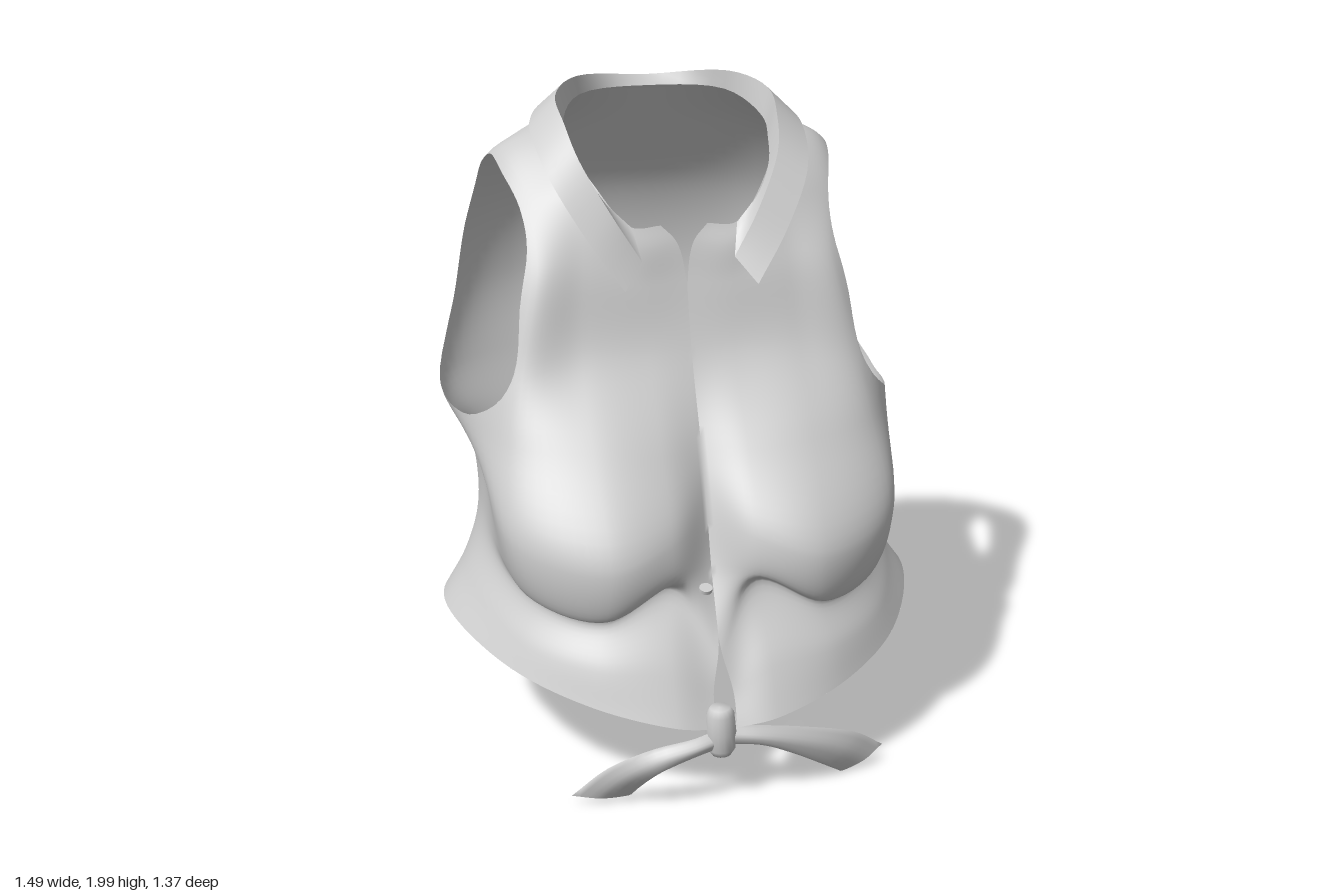
import * as THREE from 'three';
import { mergeVertices } from 'three/addons/utils/BufferGeometryUtils.js';

const cloth = new THREE.MeshStandardMaterial({ color: 0xcccccc, side: THREE.DoubleSide });
cloth.name = 'lightGreyCloth';

const vec = (p) => new THREE.Vector3(...p);
const curve = (pts) => new THREE.CatmullRomCurve3(pts);
const flip = (line) => line.map(([x, y, z]) => [-x, y, z]);

// Appends the mirrored half, so lines run front, +x, back, -x, front
const around = (half) => [...half, ...half.slice(0, -1).reverse().map(flip)];
const loopLine = (half) => [...half, ...flip(half.slice(0, -1).reverse())];

// Smooth surface through a series of lines; keep(p) < 0 is cut away
function loft(lines, nAlong, nAcross, keep = () => 1) {
  const curves = lines.map((l) => curve(l.map(vec)));
  const grid = [];
  for (let j = 0; j <= nAlong; j++) {
    const across = curve(curves.map((c) => c.getPoint(j / nAlong)));
    grid.push(across.getPoints(nAcross));
  }
  const pos = [];
  const clip = (tri) => {
    const out = [];
    tri.forEach((a, i) => {
      const b = tri[(i + 1) % 3];
      const fa = keep(a), fb = keep(b);
      if (fa >= 0) out.push(a);
      if (fa * fb < 0) out.push(a.clone().lerp(b, fa / (fa - fb)));
    });
    for (let k = 1; k + 1 < out.length; k++) {
      for (const p of [out[0], out[k], out[k + 1]]) pos.push(p.x, p.y, p.z);
    }
  };
  for (let j = 0; j < nAlong; j++) {
    for (let i = 0; i < nAcross; i++) {
      const a = grid[j][i], b = grid[j][i + 1], c = grid[j + 1][i + 1], d = grid[j + 1][i];
      clip([a, b, c]);
      clip([a, c, d]);
    }
  }
  const g = new THREE.BufferGeometry();
  g.setAttribute('position', new THREE.Float32BufferAttribute(pos, 3));
  const merged = mergeVertices(g, 1e-4);
  merged.computeVertexNormals();
  return merged;
}

// Vertical body lines, each from hem to neckline
const centreFront = [[.03, .25, .66], [.03, .34, .61], [.002, .47, .555], [0, .66, .455], [0, .84, .39],
  [0, 1, .32], [0, 1.25, .195], [.002, 1.46, .13], [.025, 1.57, .105], [.07, 1.62, .09]];
const innerBust = [[.15, .27, .665], [.15, .42, .59], [.13, .625, .475], [.13, .665, .52], [.13, .79, .51],
  [.13, 1, .375], [.13, 1.25, .2], [.14, 1.45, .14], [.15, 1.56, .115], [.16, 1.62, .09]];
const midBust = [[.38, .32, .58], [.36, .43, .545], [.33, .545, .49], [.33, .572, .535], [.32, .74, .56],
  [.33, 1.02, .37], [.33, 1.25, .2], [.31, 1.5, .125], [.29, 1.68, .055], [.26, 1.74, .03]];
const outerBust = [[.6, .38, .38], [.56, .46, .37], [.51, .57, .345], [.54, .61, .385], [.58, .79, .385],
  [.56, 1.03, .26], [.525, 1.22, .185], [.46, 1.5, .115], [.44, 1.69, -.005], [.3, 1.81, -.05]];
const side = [[.745, .44, 0], [.675, .54, 0], [.62, .65, 0], [.605, .75, 0], [.615, .91, -.01],
  [.69, 1.05, -.1], [.66, 1.3, -.15], [.59, 1.6, -.18], [.51, 1.8, -.2], [.32, 1.88, -.17]];
const sideBack = [[.66, .43, -.25], [.61, .53, -.26], [.575, .66, -.29], [.57, .77, -.33], [.6, .91, -.37],
  [.67, 1.06, -.41], [.63, 1.3, -.485], [.58, 1.55, -.475], [.52, 1.76, -.36], [.3, 1.92, -.28]];
const midBack = [[.38, .41, -.37], [.36, .52, -.38], [.35, .68, -.44], [.36, .79, -.49], [.38, .9, -.53],
  [.4, 1.08, -.59], [.4, 1.32, -.64], [.38, 1.57, -.61], [.33, 1.79, -.49], [.22, 1.94, -.37]];
const centreBack = [[0, .39, -.41], [0, .52, -.41], [0, .68, -.46], [0, .79, -.51], [0, .9, -.56],
  [0, 1.08, -.625], [0, 1.32, -.675], [0, 1.58, -.64], [0, 1.8, -.51], [0, 1.94, -.42]];
const half = [centreFront, innerBust, midBust, outerBust, side, sideBack, midBack, centreBack];

// Armhole outline as (z, y), turned into a radius by angle about its middle
const holeZ = -.16, holeY = 1.42;
const outline = [[.18, 1.15], [.1, 1.08], [-.07, 1.05], [-.22, 1.05], [-.38, 1.1], [-.48, 1.25], [-.5, 1.43],
  [-.44, 1.65], [-.32, 1.76], [-.22, 1.79], [-.1, 1.74], [0, 1.66], [.08, 1.55], [.13, 1.4]];
const rim = new THREE.CatmullRomCurve3(outline.map(([z, y]) => new THREE.Vector3(z - holeZ, y - holeY, 0)), true)
  .getPoints(240).map((p) => ({ a: Math.atan2(p.y, p.x), r: Math.hypot(p.x, p.y) }))
  .sort((p, q) => p.a - q.a);
function outsideArmhole(p) {
  if (Math.abs(p.x) < .36) return 1;
  const a = Math.atan2(p.y - holeY, p.z - holeZ);
  let k = rim.findIndex((s) => s.a >= a);
  if (k < 1) k = rim.length - 1;
  const s = rim[k - 1], t = rim[k];
  const r = THREE.MathUtils.lerp(s.r, t.r, (a - s.a) / Math.max(t.a - s.a, 1e-6));
  return Math.hypot(p.z - holeZ, p.y - holeY) - THREE.MathUtils.clamp(r, .25, .5);
}

export function createModel() {
  const model = new THREE.Group();
  model.name = 'tiedSleevelessShirt';
  const add = (name, geometry) => {
    const mesh = new THREE.Mesh(geometry, cloth);
    mesh.name = name;
    model.add(mesh);
    return mesh;
  };

  // Body with both armholes cut out
  add('body', loft(around(half), 72, 126, outsideArmhole));

  // Turned-in hem: a narrow facing just inside the lower edge
  const hemLine = (inset, lift) => around(half).map(([[x, y, z]]) => [x * (1 - inset), y + lift, z * (1 - inset)]);
  add('hemFacing', loft([hemLine(0, 0), hemLine(.025, -.004), hemLine(.045, .03)], 90, 4));

  // Collar: stand from the neckline to the fold, then the fall down to the points
  const neck = loopLine([[.16, 1.62, .095], [.23, 1.69, .055], [.28, 1.77, 0], [.3, 1.83, -.08],
    [.31, 1.88, -.19], [.23, 1.94, -.35], [0, 1.95, -.41]]);
  const fold = loopLine([[.14, 1.53, .15], [.22, 1.66, .115], [.3, 1.81, .03], [.325, 1.9, -.07],
    [.33, 1.965, -.2], [.24, 1.998, -.34], [0, 1.98, -.44]]);
  const edge = loopLine([[.2, 1.455, .2], [.3, 1.6, .145], [.385, 1.75, .055], [.415, 1.84, -.07],
    [.41, 1.89, -.2], [.31, 1.92, -.4], [0, 1.89, -.51]]);
  add('collarStand', loft([neck, fold], 60, 2));
  add('collarFall', loft([fold, edge], 60, 4));

  // Knot: a small upright wrap, rounded at both ends
  const wrap = [[0, -.078], [.03, -.075], [.042, -.055], [.046, 0], [.042, .055], [.03, .075], [0, .078]];
  const knot = add('knot', new THREE.LatheGeometry(wrap.map(([r, y]) => new THREE.Vector2(r, y)), 16));
  knot.position.set(-.018, .243, .65);
  knot.rotation.z = .04;

  // Tie tails: flat ribbons, slightly full in the middle
  const tail = (name, top, bottom) => {
    const mid = (d) => top.map((p, i) => p.map((v, k) => (v + bottom[i][k]) / 2 + (k === 2 ? d : 0)));
    add(name, loft([top, mid(.02), bottom, mid(-.012), top], 16, 16));
  };
  tail('leftTail', [[0, .26, .65], [.1, .245, .65], [.25, .205, .62], [.42, .14, .57], [.525, .06, .525]],
    [[0, .2, .66], [.1, .19, .67], [.2, .14, .65], [.31, .065, .61], [.38, .01, .57]]);
  tail('rightTail', [[-.02, .25, .65], [-.1, .235, .67], [-.22, .21, .66], [-.35, .14, .62], [-.45, .04, .58]],
    [[-.02, .19, .66], [-.1, .18, .68], [-.2, .14, .675], [-.25, .07, .62], [-.27, .015, .57]]);

  // Small buttons along the placket
  [[-.03, .63, .505], [.012, 1.39, .06], [.09, 1.39, .08]].forEach(([x, y, z], i) => {
    const button = add('button' + (i + 1), new THREE.CylinderGeometry(.02, .02, .012, 12));
    button.position.set(x, y, z);
    button.rotation.x = i ? 1.2 : .3;
  });
  return model;
}
